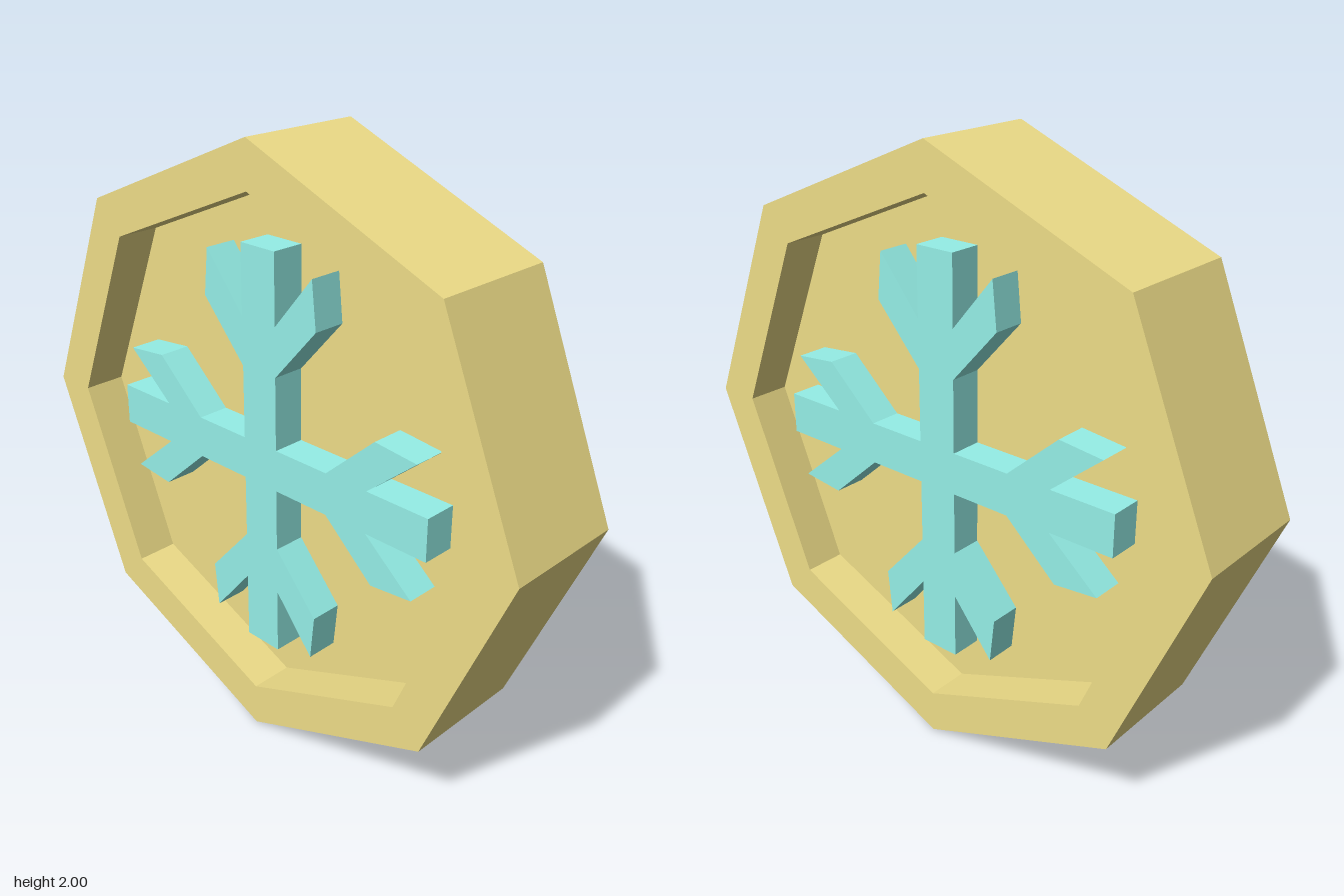
import * as THREE from 'three';

const RIM_Z = 0.213;   // half thickness of the coin
const FLOOR_Z = 0.065; // half thickness at the recessed faces
const FLAKE_Z = 0.175; // height of the snowflake faces

// Octagonal coin with a recess on both faces
function createCoin(material) {
  const profile = [
    [0, -FLOOR_Z], [0.85, -FLOOR_Z], [0.85, -RIM_Z], [1, -RIM_Z],
    [1, RIM_Z], [0.85, RIM_Z], [0.85, FLOOR_Z], [0, FLOOR_Z],
  ].map(([r, y]) => new THREE.Vector2(r, y));
  const geometry = new THREE.LatheGeometry(profile, 8);
  geometry.rotateX(Math.PI / 2);
  const coin = new THREE.Mesh(geometry, material);
  coin.name = 'coin';
  return coin;
}

// Four-armed snowflake outline: one half arm, mirrored and turned
function snowflakeShape() {
  const half = [ // [sideways, outwards]
    [0.07, 0.28], [0.236, 0.466], [0.22, 0.62], [0.07, 0.44], [0.07, 0.667],
  ];
  const arm = [...half.map(([s, d]) => [-s, d]), ...half.slice().reverse()];
  const outline = [];
  for (const [dx, dy] of [[0, 1], [1, 0], [0, -1], [-1, 0]]) {
    const shift = dy === 0 ? 0 : 0.016; // upright arms are slightly longer
    const centreY = dy === 0 ? -0.0135 : 0.002;
    for (const [s, d] of arm) {
      outline.push(new THREE.Vector2(
        dx * d + dy * s,
        dy * (d + shift) - dx * s + centreY,
      ));
    }
    // Inner corner leading to the next arm
    outline.push(new THREE.Vector2(0.07 * (dx + dy), 0.07 * (dy - dx) - 0.0135));
  }
  return new THREE.Shape(outline);
}

export function createModel() {
  const group = new THREE.Group();
  group.name = 'snowflakeCoin';

  const gold = new THREE.MeshStandardMaterial({ color: 0xeedd88, flatShading: true });
  const ice = new THREE.MeshStandardMaterial({ color: 0x95efe7, flatShading: true });

  const coin = createCoin(gold);
  coin.position.y = 1;
  group.add(coin);

  // Raised snowflake on each face
  const geometry = new THREE.ExtrudeGeometry(snowflakeShape(), {
    depth: FLAKE_Z - FLOOR_Z + 0.01,
    bevelEnabled: false,
  });
  geometry.translate(0, 0, FLOOR_Z - 0.01);
  ['frontSnowflake', 'backSnowflake'].forEach((name, i) => {
    const flake = new THREE.Mesh(geometry, ice);
    flake.name = name;
    flake.position.y = 1;
    flake.rotation.y = i * Math.PI;
    group.add(flake);
  });

  return group;
}
